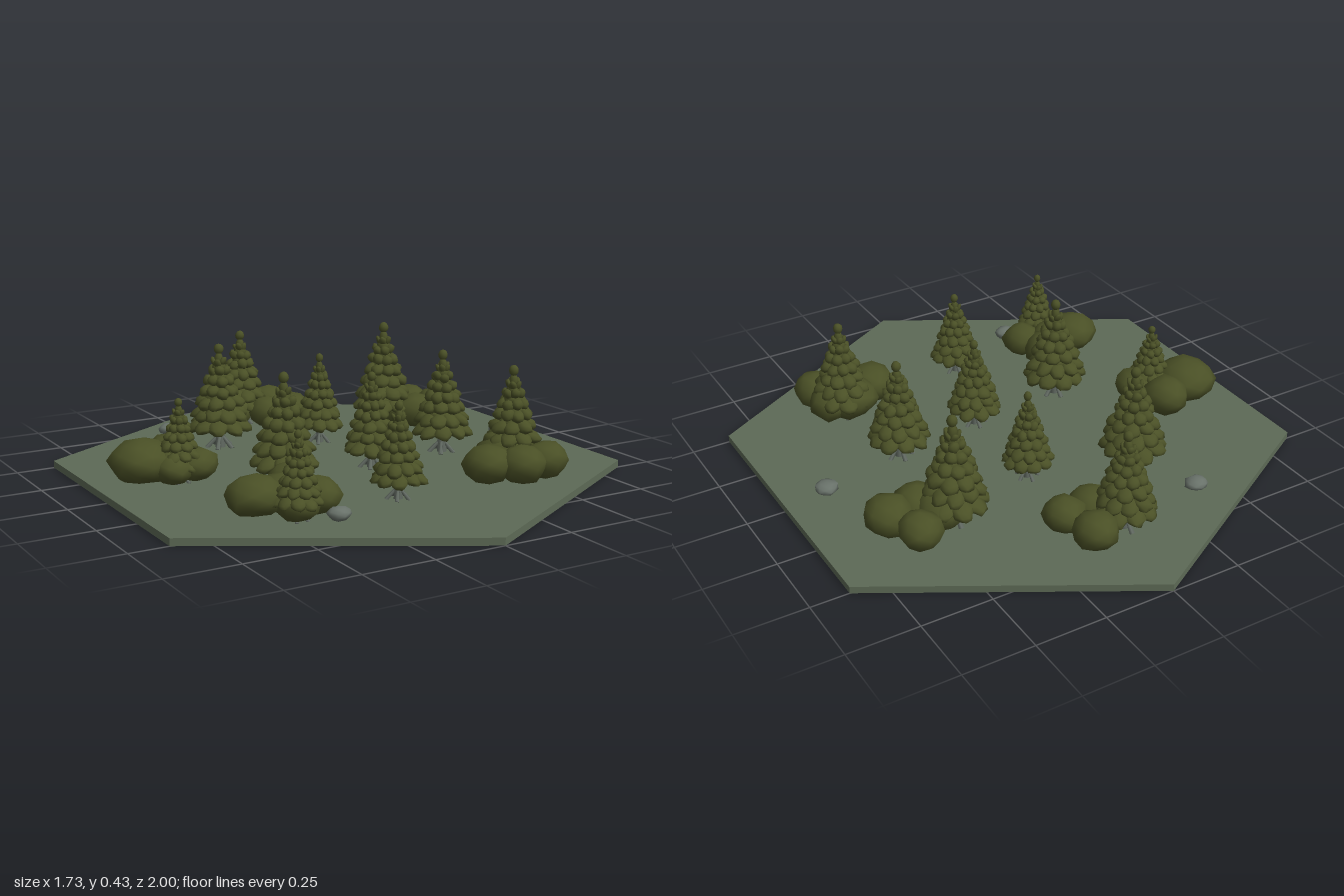
import * as THREE from 'three';
import { mergeGeometries, mergeVertices } from 'three/addons/utils/BufferGeometryUtils.js';

const GROUND = 0.025;
const material = (name, color) => {
  const m = new THREE.MeshStandardMaterial({ color });
  m.name = name;
  return m;
};

// Seeded random numbers keep every plant slightly different
function seeded(seed) {
  let s = seed * 7919 + 17;
  return () => {
    s = (s * 16807) % 2147483647;
    return s / 2147483647;
  };
}

// Rounded low-poly lump with a jittered outline
function lump(rx, ry, rz, rand, jitter) {
  let g = new THREE.IcosahedronGeometry(1, 1);
  g.deleteAttribute('uv');
  g.deleteAttribute('normal');
  g = mergeVertices(g, 1e-4);
  const p = g.attributes.position;
  for (let i = 0; i < p.count; i++) {
    const k = 1 + (rand() - 0.5) * jitter;
    p.setXYZ(i, p.getX(i) * k * rx, p.getY(i) * k * ry, p.getZ(i) * k * rz);
  }
  g.computeVertexNormals();
  return g;
}

// Foliage: rings of drooping pads that shrink upwards, then a bud on a stem
function foliageGeometry(r, h, rand) {
  const parts = [];
  const tiers = [
    [0.23, 1.0, 9], [0.34, 0.89, 9], [0.45, 0.76, 8], [0.55, 0.62, 8],
    [0.65, 0.48, 7], [0.74, 0.35, 6], [0.82, 0.22, 5],
  ];
  tiers.forEach(([level, width, count], t) => {
    const R = r * width;
    const len = R * 0.38;
    for (let i = 0; i < count; i++) {
      const pad = lump(len, h * 0.052, (R * 2.7) / count, rand, 0.25);
      pad.rotateZ(-0.4 - rand() * 0.15);
      pad.translate(R * (0.6 + rand() * 0.08), h * (level + (rand() - 0.5) * 0.025), 0);
      pad.rotateY((i / count) * Math.PI * 2 + t * 0.45);
      parts.push(pad);
    }
    const core = lump(R * 0.62, h * 0.075, R * 0.62, rand, 0.1);
    core.translate(0, h * (level + 0.025), 0);
    parts.push(core);
  });
  const stem = new THREE.CylinderGeometry(r * 0.04, r * 0.08, h * 0.12, 6);
  stem.deleteAttribute('uv');
  stem.translate(0, h * 0.87, 0);
  const bud = lump(r * 0.15, h * 0.052, r * 0.15, rand, 0.08);
  bud.translate(0, h * 0.948, 0);
  parts.push(stem, bud);
  return mergeGeometries(parts);
}

// Trunk with splayed roots
function trunkGeometry(r, h) {
  const parts = [new THREE.CylinderGeometry(r * 0.1, r * 0.16, h * 0.6, 7)];
  parts[0].translate(0, h * 0.3, 0);
  for (let i = 0; i < 5; i++) {
    const root = new THREE.CylinderGeometry(r * 0.05, r * 0.08, h * 0.15, 5);
    root.rotateZ(0.75);
    root.translate(r * 0.25, h * 0.05, 0);
    root.rotateY((i / 5) * Math.PI * 2 + 0.3);
    parts.push(root);
  }
  return mergeGeometries(parts);
}

export function createModel() {
  const model = new THREE.Group();
  model.name = 'forestTile';
  const grass = material('mossy ground', 0x5d6a56);
  const leaf = material('olive foliage', 0x4a5026);
  const bark = material('grey bark', 0x626a62);
  const stone = material('grey stone', 0x69726a);

  const add = (parent, name, geometry, mat, x = 0, y = 0, z = 0) => {
    const mesh = new THREE.Mesh(geometry, mat);
    mesh.name = name;
    mesh.position.set(x, y, z);
    parent.add(mesh);
    return mesh;
  };

  // Hexagonal ground slab with points at the front and back
  const slab = new THREE.CylinderGeometry(1, 1, GROUND, 6).toNonIndexed();
  slab.computeVertexNormals();
  add(model, 'groundTile', slab, grass, 0, GROUND / 2, 0);

  // Trees: x, z, radius, top height
  const trees = [
    [-0.04, -0.67, 0.115, 0.39], [-0.27, -0.38, 0.12, 0.41], [0.08, -0.26, 0.092, 0.36],
    [0.42, -0.36, 0.122, 0.43], [-0.59, -0.03, 0.088, 0.315], [-0.3, 0.17, 0.118, 0.41],
    [0.065, 0.13, 0.1, 0.365], [0.395, 0.08, 0.112, 0.4], [-0.06, 0.5, 0.095, 0.35],
    [-0.45, 0.54, 0.083, 0.315], [0.45, 0.425, 0.113, 0.4],
  ];
  trees.forEach(([x, z, r, top], i) => {
    const tree = new THREE.Group();
    tree.name = 'tree' + (i + 1);
    tree.position.set(x, GROUND, z);
    const h = top - GROUND;
    add(tree, 'foliage', foliageGeometry(r, h, seeded(i + 1)), leaf);
    add(tree, 'trunk', trunkGeometry(r, h), bark);
    model.add(tree);
  });

  // Bush clusters: x, z, radius, top height of each lump
  const clusters = [
    [[0.1, -0.71, 0.078, 0.15], [0.135, -0.58, 0.075, 0.14], [0.03, -0.57, 0.075, 0.14], [-0.09, -0.64, 0.075, 0.13]],
    [[0.58, -0.43, 0.075, 0.15], [0.63, -0.31, 0.085, 0.16], [0.52, -0.29, 0.082, 0.15], [0.47, -0.36, 0.085, 0.16]],
    [[-0.57, -0.155, 0.083, 0.16], [-0.7, -0.095, 0.115, 0.17], [-0.535, -0.02, 0.078, 0.14], [-0.62, -0.02, 0.075, 0.13]],
    [[-0.385, 0.365, 0.083, 0.16], [-0.545, 0.435, 0.1, 0.16], [-0.355, 0.495, 0.075, 0.14], [-0.45, 0.44, 0.085, 0.15], [-0.45, 0.54, 0.07, 0.13]],
    [[0.305, 0.49, 0.09, 0.15], [0.4, 0.55, 0.085, 0.15], [0.5, 0.545, 0.08, 0.15], [0.42, 0.42, 0.1, 0.16], [0.5, 0.43, 0.075, 0.15]],
  ];
  clusters.forEach((lumps, c) => {
    const bush = new THREE.Group();
    bush.name = 'bush' + (c + 1);
    lumps.forEach(([x, z, r, top], i) => {
      const half = (top - GROUND) / 2;
      const geometry = lump(r, half * 1.04, r, seeded(100 + c * 10 + i), 0.16);
      add(bush, 'bushLump', geometry, leaf, x, GROUND + half, z);
    });
    model.add(bush);
  });

  // Small flattened rocks
  [[-0.365, -0.62], [0.715, -0.01], [-0.35, 0.615]].forEach(([x, z], i) => {
    add(model, 'rock' + (i + 1), lump(0.041, 0.022, 0.037, seeded(300 + i), 0.25), stone, x, 0.052, z);
  });

  return model;
}
